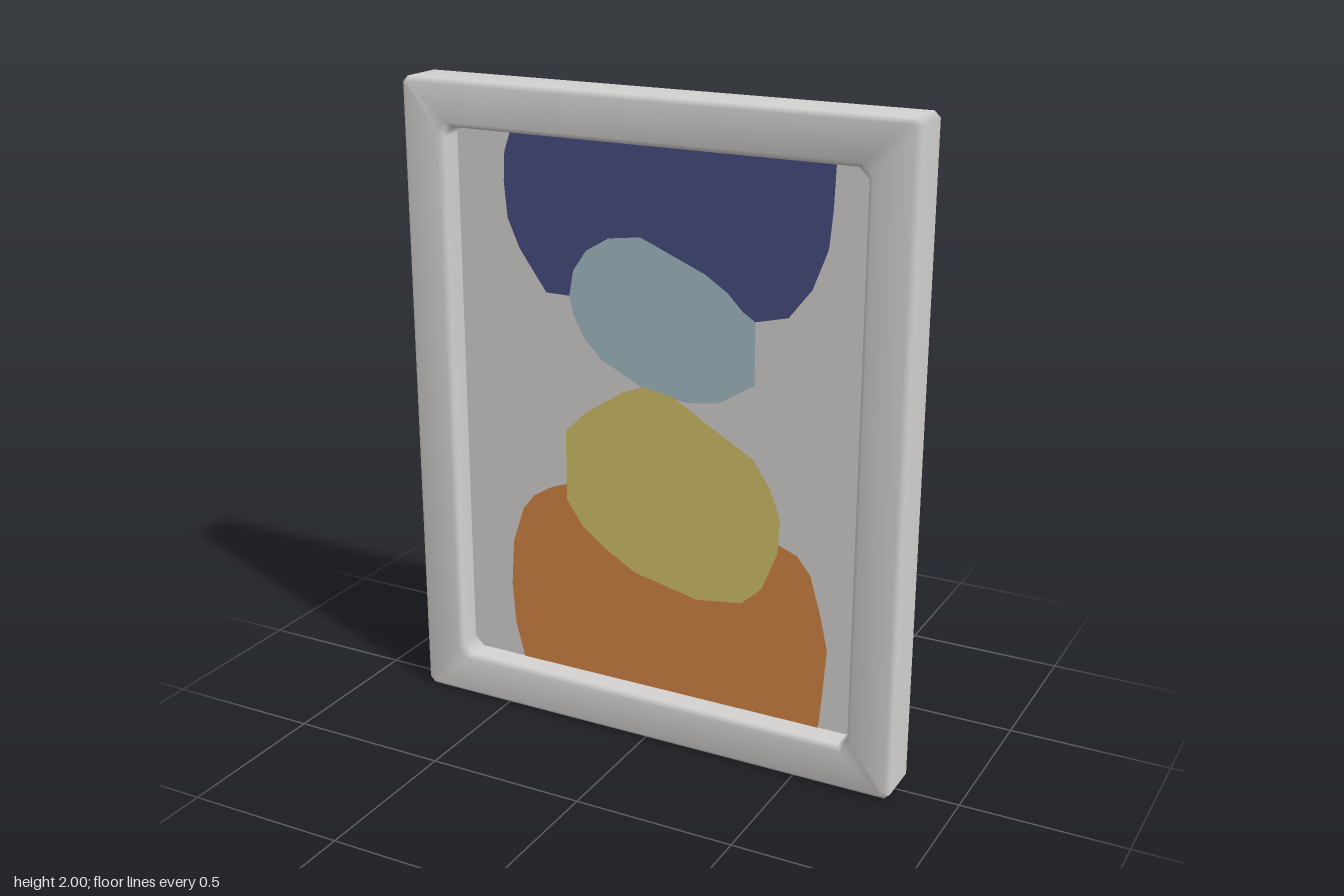
import * as THREE from 'three';

const mat = (name, color) => {
  const m = new THREE.MeshStandardMaterial({ color });
  m.name = name;
  return m;
};

// Rectangle with cut corners, counter-clockwise seen from the front
function ring(w, h, c, z) {
  return [[w, -h + c], [w, h - c], [w - c, h], [-w + c, h],
    [-w, h - c], [-w, -h + c], [-w + c, -h], [w - c, -h]]
    .map(([x, y]) => [x, y + 1, z]);
}

// Frame body: rings run from the back, round the outside and into the recess
function frameGeometry() {
  const rings = [
    ring(0.795, 0.985, 0.012, -0.083),
    ring(0.81, 1, 0.018, -0.068),
    ring(0.81, 1, 0.018, 0.068),
    ring(0.795, 0.985, 0.012, 0.083),
    ring(0.685, 0.875, 0.03, 0.083),
    ring(0.67, 0.86, 0.03, 0.068),
    ring(0.67, 0.86, 0.03, -0.002),
  ];
  const n = 8, pos = rings.flat(2), index = [];
  for (let r = 0; r < rings.length - 1; r++) {
    for (let i = 0; i < n; i++) {
      const j = (i + 1) % n, a = r * n, b = a + n;
      index.push(a + i, a + j, b + j, a + i, b + j, b + i);
    }
  }
  // Flat back
  const centre = pos.length / 3;
  pos.push(0, 1, -0.083);
  for (let i = 0; i < n; i++) index.push(centre, (i + 1) % n, i);
  const g = new THREE.BufferGeometry();
  g.setAttribute('position', new THREE.Float32BufferAttribute(pos, 3));
  g.setIndex(index);
  g.computeVertexNormals();
  return g;
}

// Flat face from outline points
function flat(name, points, z, material) {
  const shape = new THREE.Shape(points.map(([x, y]) => new THREE.Vector2(x, y)));
  const mesh = new THREE.Mesh(new THREE.ShapeGeometry(shape), material);
  mesh.position.z = z;
  mesh.name = name;
  return mesh;
}

export function createModel() {
  const group = new THREE.Group();
  group.name = 'framedPicture';
  const white = mat('warm white', 0xd4d2d0);

  const frame = new THREE.Mesh(frameGeometry(), white);
  frame.name = 'frame';
  group.add(frame);

  // Picture sheet
  group.add(flat('sheet', ring(0.67, 0.86, 0.03, 0), 0, white));

  // Painted pebbles, stacked from the bottom
  group.add(flat('bottomPebble', [
    [-0.48, 0.14], [-0.51, 0.255], [-0.52, 0.39], [-0.51, 0.54], [-0.47, 0.66],
    [-0.43, 0.71], [-0.365, 0.75], [-0.31, 0.77], [0.41, 0.705], [0.465, 0.685],
    [0.51, 0.63], [0.545, 0.51], [0.57, 0.4], [0.56, 0.255], [0.55, 0.14],
  ], 0.002, mat('orange', 0xd28443)));

  group.add(flat('topPebble', [
    [-0.48, 1.86], [-0.505, 1.79], [-0.51, 1.7], [-0.5, 1.59], [-0.46, 1.5],
    [-0.37, 1.375], [-0.29, 1.375], [0.32, 1.375], [0.42, 1.4], [0.49, 1.49],
    [0.535, 1.61], [0.545, 1.72], [0.55, 1.86],
  ], 0.002, mat('navy', 0x464d80)));

  group.add(flat('yellowPebble', [
    [-0.31, 0.945], [-0.24, 1.015], [-0.11, 1.1], [-0.04, 1.127], [0.06, 1.11],
    [0.16, 1.05], [0.32, 0.96], [0.375, 0.88], [0.41, 0.79], [0.405, 0.68],
    [0.355, 0.555], [0.29, 0.495], [0.14, 0.475], [-0.07, 0.52], [-0.175, 0.58],
    [-0.255, 0.64], [-0.31, 0.72],
  ], 0.004, mat('yellow', 0xd2c06a)));

  group.add(flat('bluePebble', [
    [-0.29, 1.375], [-0.275, 1.455], [-0.23, 1.52], [-0.155, 1.565], [-0.05, 1.58],
    [0.16, 1.495], [0.23, 1.45], [0.28, 1.4], [0.32, 1.375], [0.32, 1.185],
    [0.205, 1.115], [0.105, 1.1], [-0.045, 1.125], [-0.18, 1.19], [-0.24, 1.25],
    [-0.275, 1.315],
  ], 0.004, mat('pale blue', 0xa4bdc6)));

  return group;
}
